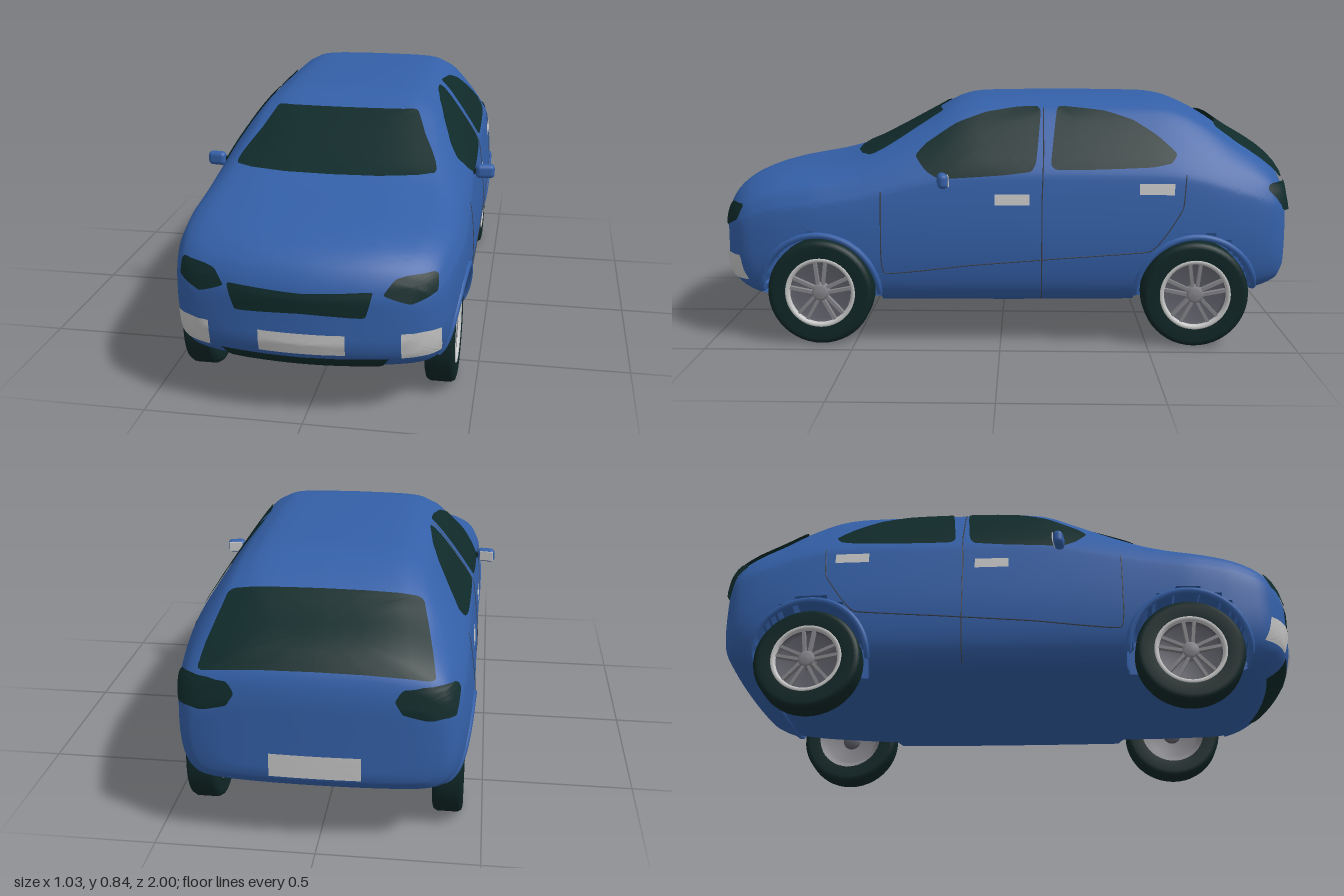
import * as THREE from 'three';
import { toCreasedNormals } from 'three/addons/utils/BufferGeometryUtils.js';
import { RoundedBoxGeometry } from 'three/addons/geometries/RoundedBoxGeometry.js';

const V = (x, y, z) => new THREE.Vector3(x, y, z);
const mat = (name, color, side = THREE.FrontSide) => {
  const m = new THREE.MeshStandardMaterial({ color, side });
  m.name = name;
  return m;
};
const paint = mat('bluePaint', 0x3460a8);
const glass = mat('darkGlass', 0x102a2a, THREE.DoubleSide);
const rubber = mat('tyreRubber', 0x102626);
const silver = mat('silver', 0xc6c6c6, THREE.DoubleSide);
const alloy = mat('alloyGrey', 0x85858a, THREE.DoubleSide);
const rimDark = mat('rimShade', 0x5c5c66, THREE.DoubleSide);
const seamMat = mat('seamGrey', 0x3c4250);

const WHEEL_Z = [0.615, -0.66], WHEEL_Y = 0.18, ARCH = 0.2;

// Smooth function through a table of [z, value] pairs
function smooth(t) {
  const slope = i => {
    const a = t[Math.max(i - 1, 0)], b = t[Math.min(i + 1, t.length - 1)];
    return (b[1] - a[1]) / (b[0] - a[0]);
  };
  return z => {
    let i = 0;
    while (i < t.length - 2 && z > t[i + 1][0]) i++;
    const h = t[i + 1][0] - t[i][0], u = Math.min(Math.max((z - t[i][0]) / h, 0), 1);
    const u2 = u * u, u3 = u2 * u;
    return (2 * u3 - 3 * u2 + 1) * t[i][1] + (u3 - 2 * u2 + u) * h * slope(i)
      + (3 * u2 - 2 * u3) * t[i + 1][1] + (u3 - u2) * h * slope(i + 1);
  };
}
const topY = smooth([[-0.985, 0.5], [-0.975, 0.56], [-0.95, 0.605], [-0.9, 0.65], [-0.8, 0.71], [-0.7, 0.775],
  [-0.6, 0.82], [-0.5, 0.835], [0.05, 0.835], [0.15, 0.82], [0.25, 0.77], [0.4, 0.69], [0.5, 0.642],
  [0.6, 0.612], [0.8, 0.575], [0.9, 0.543], [0.96, 0.5], [0.99, 0.45], [1, 0.41]]);
const botY = smooth([[-0.985, 0.25], [-0.96, 0.215], [-0.85, 0.18], [-0.6, 0.155], [-0.4, 0.145], [0.4, 0.14],
  [0.8, 0.145], [0.9, 0.16], [0.96, 0.19], [0.99, 0.23], [1, 0.27]]);
const halfW = smooth([[-0.985, 0.37], [-0.97, 0.4], [-0.93, 0.425], [-0.85, 0.443], [-0.7, 0.456], [-0.5, 0.46],
  [0.6, 0.46], [0.8, 0.448], [0.9, 0.432], [0.96, 0.41], [0.99, 0.37], [1, 0.33]]);

// Unit cross-sections: sill below the belt, then bonnet and cabin shapes above it
const SILL = [[0, 0], [0.6, 0], [0.82, 0.03], [0.91, 0.12], [0.965, 0.3], [0.995, 0.6]];
const BONNET = [[1, 0], [0.99, 0.35], [0.97, 0.5], [0.92, 0.7], [0.82, 0.84], [0.7, 0.91], [0.45, 0.98], [0, 1]];
const CABIN = [[1, 0], [0.965, 0.35], [0.93, 0.48], [0.8, 0.69], [0.67, 0.87], [0.58, 0.94], [0.43, 0.99], [0, 1]];

function bodyGeometry(nz, n, cutArches) {
  const rings = [0, 0.25, 0.5, 0.75].map(f => [-0.985, f]);
  for (let i = 0; i <= nz; i++) {
    const u = 2 * i / nz - 1, v = 0.5 * u + 0.5 * Math.sin(u * Math.PI / 2);
    rings.push([0.0075 + 0.9925 * v, 1]);
  }
  rings.push(...[0.75, 0.5, 0.25, 0].map(f => [1, f]));
  const pos = [], idx = [], m = 2 * n;
  for (const [s, f] of rings) {
    const t = topY(s), b = botY(s), w = halfW(s);
    const belt = Math.min(0.4, b + 0.6 * (t - b)), mid = (t + b) / 2;
    const c = THREE.MathUtils.clamp((t - 0.6) / 0.235, 0, 1);
    const ctrl = SILL.map(p => new THREE.Vector2(p[0] * w, b + p[1] * (belt - b)));
    BONNET.forEach((p, i) => ctrl.push(new THREE.Vector2(
      w * THREE.MathUtils.lerp(p[0], CABIN[i][0], c),
      belt + (t - belt) * THREE.MathUtils.lerp(p[1], CABIN[i][1], c))));
    const half = new THREE.SplineCurve(ctrl).getPoints(n);
    // Bow the nose and the tail in plan
    const bend = 0.5 * THREE.MathUtils.smoothstep(s, 0.5, 1) - 0.15 * THREE.MathUtils.smoothstep(-s, 0.6, 0.98);
    for (let j = 0; j < m; j++) {
      const p = half[j <= n ? j : m - j];
      let x = (j <= n ? 1 : -1) * p.x * f;
      const y = mid + (p.y - mid) * f, z = s - bend * x * x;
      // Push the wheel bays inwards
      if (cutArches && Math.abs(x) > 0.32 && WHEEL_Z.some(c => Math.hypot(z - c, y - WHEEL_Y) < ARCH))
        x = Math.sign(x) * 0.32;
      pos.push(x, y, z);
    }
  }
  for (let i = 0; i < rings.length - 1; i++)
    for (let j = 0; j < m; j++) {
      const a = i * m + j, b = i * m + (j + 1) % m;
      idx.push(a, b, a + m, b, b + m, a + m);
    }
  const g = new THREE.BufferGeometry();
  g.setAttribute('position', new THREE.Float32BufferAttribute(pos, 3));
  g.setIndex(idx);
  return g;
}

export function createModel() {
  const car = new THREE.Group();
  car.name = 'car';
  const add = (parent, name, geo, m, x = 0, y = 0, z = 0) => {
    const mesh = new THREE.Mesh(geo, m);
    mesh.name = name;
    mesh.position.set(x, y, z);
    parent.add(mesh);
    return mesh;
  };
  add(car, 'body', toCreasedNormals(bodyGeometry(150, 52, true), 0.7), paint);

  // Coarse uncut shell, used only to lay details onto the surface
  const shell = new THREE.Mesh(bodyGeometry(72, 39, false), paint);
  const ray = new THREE.Raycaster();
  const project = (p, dir, off) => {
    ray.set(p.clone().addScaledVector(dir, -1.5), dir);
    const hit = ray.intersectObject(shell)[0];
    return hit ? hit.point.addScaledVector(hit.face.normal, off) : p.clone();
  };

  // Thin panel with a closed outline, draped onto the body
  function panel(name, outline, dir, m, off = 0.005, tension = 0.2) {
    const N = outline.length * Math.ceil(44 / outline.length), R = 5;
    const edge = new THREE.CatmullRomCurve3(outline, true, 'catmullrom', tension).getPoints(N).slice(0, N);
    const mid = edge.reduce((a, p) => a.add(p), V(0, 0, 0)).divideScalar(N);
    const pts = [project(mid, dir, off)], idx = [];
    for (let r = 1; r <= R; r++)
      for (let i = 0; i < N; i++) {
        pts.push(project(mid.clone().lerp(edge[i], r / R), dir, off));
        const k = (i + 1) % N, o = 1 + (r - 1) * N, q = o - N;
        if (r === 1) idx.push(0, o + i, o + k);
        else idx.push(q + i, o + i, o + k, q + i, o + k, q + k);
      }
    // Face the panel outwards
    const e = pts[1 + (R - 1) * N].clone().sub(pts[0]);
    const f = pts[1 + (R - 1) * N + Math.floor(N / 4)].clone().sub(pts[0]);
    if (e.cross(f).dot(dir) > 0) idx.reverse();
    const g = new THREE.BufferGeometry().setFromPoints(pts);
    g.setIndex(idx);
    g.computeVertexNormals();
    add(car, name, g, m);
  }
  const front = V(0, 0, -1), back = V(0, 0, 1);
  const mirrored = half => [...half, ...half.slice().reverse().map(p => [-p[0], ...p.slice(1)])];
  const xy = (list, sx = 1) => list.map(p => V(p[0] * sx, p[1], 0));
  const rect = (x0, x1, y0, y1) => [[x0, y0], [x1, y0], [x1, y1], [x0, y1]];

  // Front and rear panels
  panel('windscreen', mirrored([[0.33, 0.638], [0.28, 0.725], [0.25, 0.775], [0.23, 0.787]])
    .map(p => V(p[0], p[1], 0)), front, glass, 0.006, 0.1);
  panel('rearWindow', mirrored([[0.32, 0.6, -0.97], [0.34, 0.62, -0.95], [0.3, 0.75, -0.78], [0.27, 0.77, -0.75]])
    .map(p => V(...p)), V(0, -0.75, 0.65).normalize(), glass, 0.014, 0.15);
  panel('grille', xy([[0, 0.427], [0.2, 0.435], [0.207, 0.425], [0.19, 0.362], [0.17, 0.358], [0, 0.367],
    [-0.19, 0.358], [-0.205, 0.365], [-0.225, 0.425], [-0.215, 0.435]]), front, glass);
  panel('lowerGrille', xy(mirrored([[0.24, 0.22], [0.25, 0.212], [0.225, 0.17], [0.2, 0.163]])), front, glass);
  panel('frontPlate', xy(rect(-0.13, 0.13, 0.235, 0.303)), front, silver, 0.007, 0);
  panel('rearPlate', xy(rect(-0.138, 0.138, 0.255, 0.33)), back, silver, 0.006, 0);

  for (const sx of [1, -1]) {
    const side = V(-sx, 0, 0), zy = list => list.map(p => V(0, p[1], p[0]));
    panel('headlight', xy([[0.24, 0.425], [0.27, 0.465], [0.3, 0.473], [0.375, 0.475], [0.388, 0.465],
      [0.388, 0.425], [0.36, 0.41], [0.315, 0.396]], sx), front, glass, 0.006);
    panel('fogLight', xy(rect(0.292, 0.4, 0.222, 0.304), sx), front, silver, 0.006, 0.05);
    panel('tailLight', xy([[0.235, 0.515], [0.26, 0.55], [0.39, 0.553], [0.408, 0.53], [0.4, 0.47],
      [0.33, 0.462], [0.26, 0.48]], sx), back, glass, 0.014);
    panel('frontSideWindow', zy([[0.285, 0.645], [0.25, 0.685], [0.15, 0.75], [0.05, 0.785], [-0.05, 0.8],
      [-0.12, 0.803], [-0.135, 0.785], [-0.12, 0.63], [-0.1, 0.598], [0, 0.587], [0.2, 0.575], [0.25, 0.6]]),
      side, glass);
    panel('rearSideWindow', zy([[-0.19, 0.79], [-0.21, 0.803], [-0.35, 0.79], [-0.45, 0.76], [-0.53, 0.71],
      [-0.59, 0.655], [-0.57, 0.625], [-0.5, 0.612], [-0.3, 0.605], [-0.19, 0.605], [-0.17, 0.625]]), side, glass);
    for (const [z, y] of [[-0.04, 0.508], [-0.522, 0.543]])
      panel('doorHandle', zy([[z - 0.058, y - 0.018], [z + 0.058, y - 0.018], [z + 0.058, y + 0.018],
        [z - 0.058, y + 0.018]]), side, silver, 0.008, 0);

    // Door seams
    for (const line of [[[0.4, 0.53], [0.4, 0.4], [0.39, 0.255], [0.1, 0.285], [-0.2, 0.31], [-0.5, 0.335],
      [-0.56, 0.4], [-0.61, 0.48], [-0.62, 0.59]], [[-0.14, 0.16], [-0.14, 0.3], [-0.14, 0.5], [-0.145, 0.65],
      [-0.145, 0.8]]]) {
      const path = new THREE.CatmullRomCurve3(zy(line), false, 'catmullrom', 0.15).getPoints(60)
        .map(p => project(p, side, 0));
      add(car, 'doorSeam', new THREE.TubeGeometry(new THREE.CatmullRomCurve3(path), 80, 0.0022, 5), seamMat);
    }

    // Door mirrors
    add(car, 'mirrorStem', new THREE.BoxGeometry(0.05, 0.018, 0.014), rubber, sx * 0.444, 0.575, 0.19);
    const shellBox = add(car, 'mirrorHousing', new RoundedBoxGeometry(0.066, 0.05, 0.034, 4, 0.016), paint,
      sx * 0.482, 0.576, 0.19);
    shellBox.rotation.y = sx * 0.15;
    add(car, 'mirrorGlass', new RoundedBoxGeometry(0.05, 0.036, 0.004, 2, 0.002), silver, sx * 0.484, 0.576, 0.172)
      .rotation.y = sx * 0.15;

    for (const z of WHEEL_Z) {
      // Arch lip
      const arc = [];
      for (let i = 0; i <= 32; i++) {
        const a = Math.PI * i / 32;
        arc.push(project(V(0, WHEEL_Y + 0.204 * Math.sin(a), z + 0.204 * Math.cos(a)), side, -0.003));
      }
      add(car, 'archLip', new THREE.TubeGeometry(new THREE.CatmullRomCurve3(arc), 64, 0.011, 8), paint);

      // Wheel, built with its outer face towards +x
      const wheel = new THREE.Group();
      wheel.name = 'wheel';
      wheel.position.set(sx * 0.39, WHEEL_Y, z);
      wheel.rotation.y = sx > 0 ? 0 : Math.PI;
      car.add(wheel);
      const lathe = (name, profile, m) => {
        const g = new THREE.LatheGeometry(profile.map(p => new THREE.Vector2(...p)), 48);
        add(wheel, name, g, m).rotation.z = -Math.PI / 2;
      };
      lathe('tyre', [[0.118, -0.044], [0.16, -0.048], [0.173, -0.044], [0.18, -0.032], [0.18, 0.032],
        [0.173, 0.044], [0.16, 0.048], [0.118, 0.044]], rubber);
      lathe('rimBarrel', [[0, 0], [0.09, -0.005], [0.105, -0.03], [0.119, -0.045]], alloy);
      lathe('rimWell', [[0, 0.008], [0.1, 0.008], [0.106, 0.035]], rimDark);
      lathe('rimLip', [[0.104, 0.034], [0.108, 0.044], [0.115, 0.047], [0.12, 0.044]], silver);
      lathe('hub', [[0.03, 0.005], [0.028, 0.038], [0.02, 0.043], [0, 0.044]], alloy);
      lathe('innerHub', [[0, -0.02], [0.03, -0.018], [0.034, 0]], rimDark);
      for (let k = 0; k < 5; k++) {
        const spoke = new THREE.Group();
        spoke.name = 'spoke';
        spoke.rotation.x = k * Math.PI * 2 / 5;
        wheel.add(spoke);
        for (const s of [1, -1])
          add(spoke, 'spokeArm', new THREE.BoxGeometry(0.018, 0.09, 0.011), alloy, 0.029, 0.063, s * 0.013)
            .rotation.x = s * 0.12;
      }
    }
  }
  return car;
}
